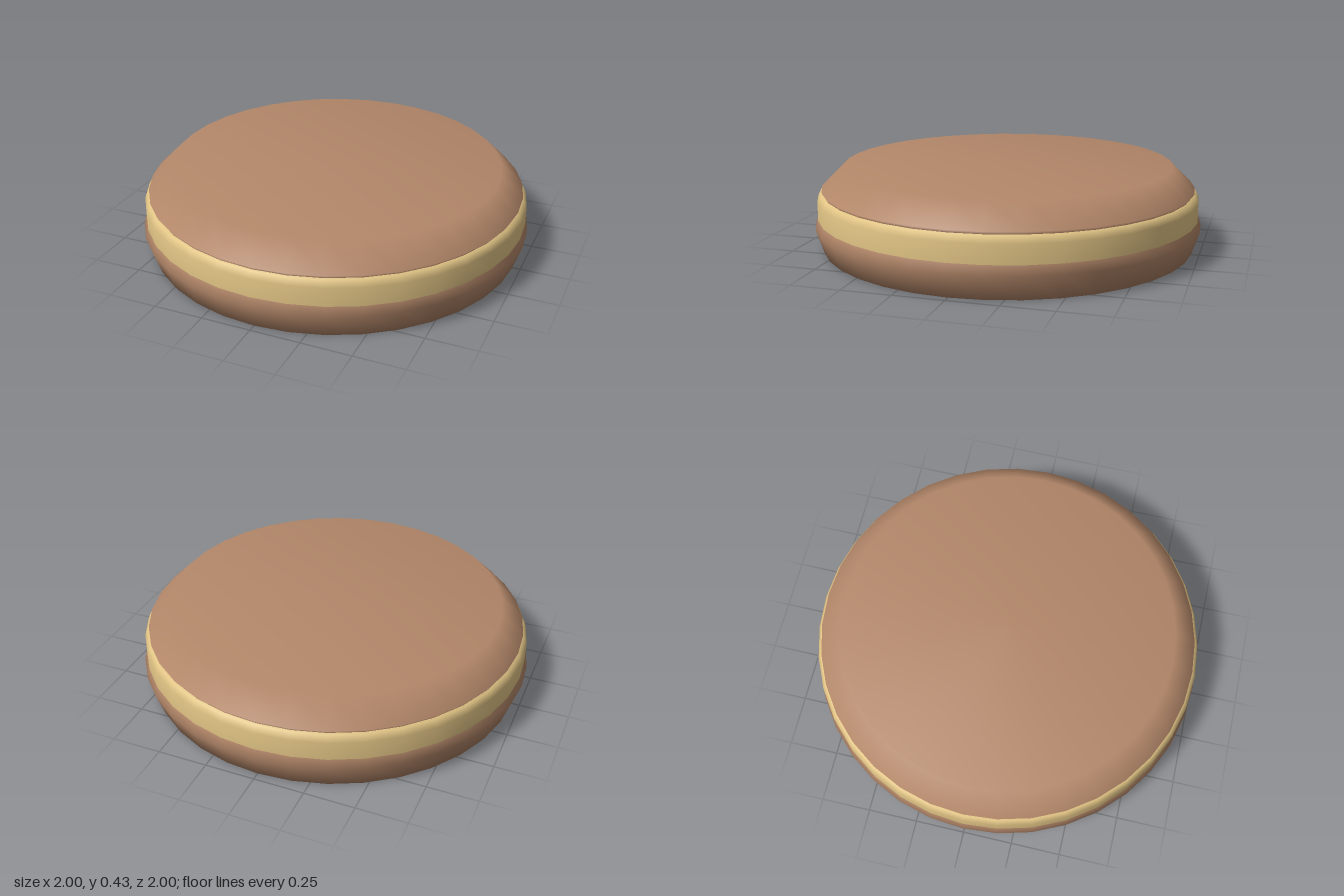
import * as THREE from 'three';
import { mergeVertices } from 'three/addons/utils/BufferGeometryUtils.js';

const SIDES = 36;

// Turned part with soft, area-weighted normals and no seam
function turned(name, profile, material) {
  const lathe = new THREE.LatheGeometry(profile.map(([r, y]) => new THREE.Vector2(r, y)), SIDES);
  lathe.deleteAttribute('uv');
  lathe.deleteAttribute('normal');
  const geometry = mergeVertices(lathe, 1e-4);
  geometry.computeVertexNormals();
  const mesh = new THREE.Mesh(geometry, material);
  mesh.name = name;
  return mesh;
}

export function createModel() {
  const biscuit = new THREE.MeshStandardMaterial({ color: 0xb38769 });
  biscuit.name = 'biscuit brown';
  const cream = new THREE.MeshStandardMaterial({ color: 0xe0c384 });
  cream.name = 'cream yellow';

  const group = new THREE.Group();
  group.name = 'sandwichBiscuit';
  group.add(
    // Lower biscuit: flat base, flared rim
    turned('lowerBiscuit', [[0, 0], [0.96, 0], [1, 0.12], [0.985, 0.167]], biscuit),
    // Cream band with a chamfered upper edge
    turned('creamFilling', [[0.985, 0.167], [0.985, 0.262], [0.968, 0.295], [0.94, 0.297]], cream),
    // Upper biscuit: short rim, sloped shoulder, flat top
    turned('upperBiscuit', [[0.95, 0.29], [0.963, 0.31], [0.847, 0.425], [0, 0.425]], biscuit)
  );
  return group;
}
